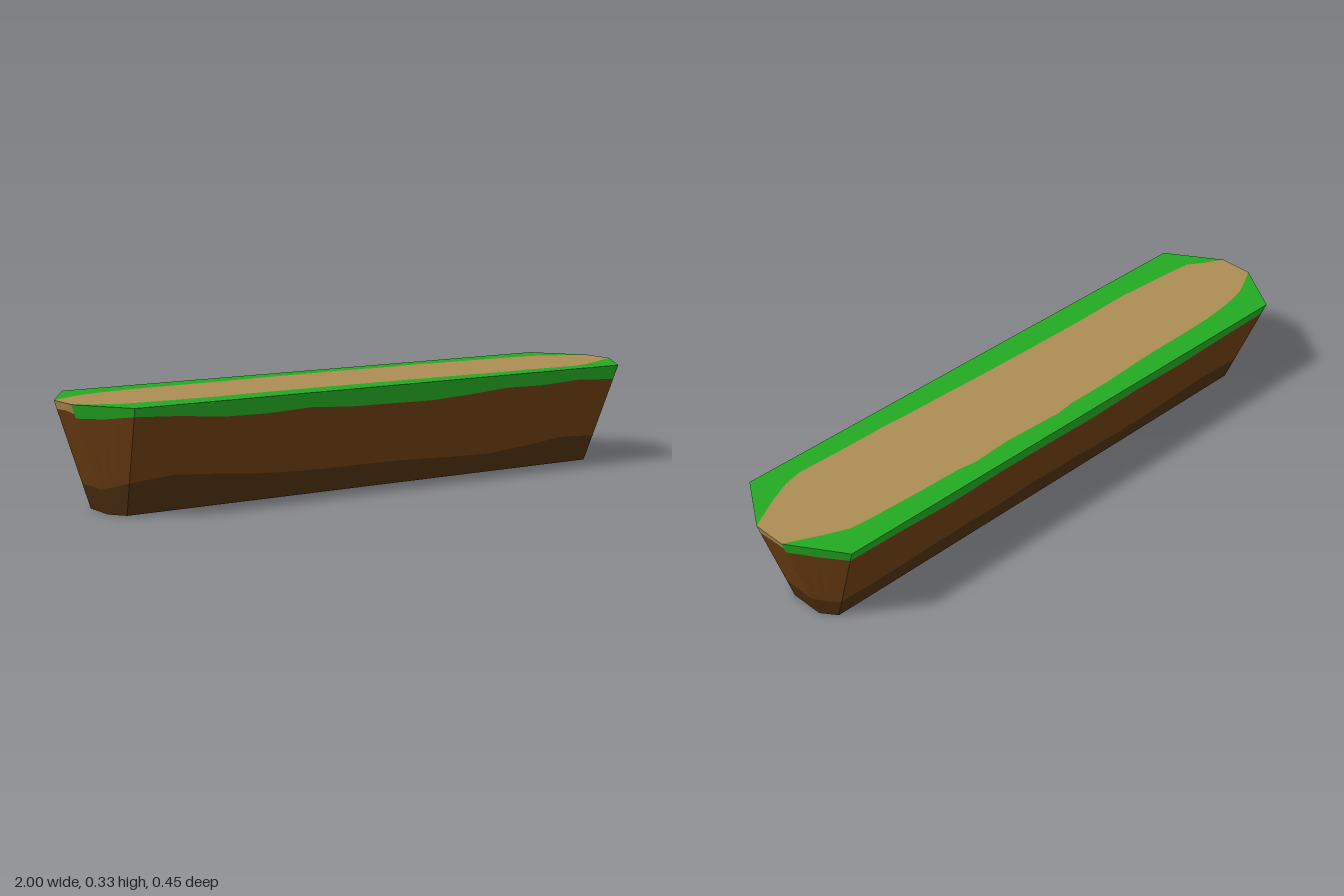
import * as THREE from 'three';

const H = 0.326;
const mat = (name, color) => {
  const m = new THREE.MeshStandardMaterial({ color });
  m.name = name;
  return m;
};

// Reads an evenly spaced list of values at u in 0..1
function sample(list, u) {
  const f = u * (list.length - 1);
  const i = Math.min(Math.floor(f), list.length - 2);
  return list[i] + (list[i + 1] - list[i]) * (f - i);
}

// Adds strip between two rows of points; rows run left to right seen from outside
function addStrip(out, lower, upper) {
  for (let i = 0; i < lower.length - 1; i++) {
    const [a, b, c, d] = [lower[i], lower[i + 1], upper[i + 1], upper[i]];
    for (const p of [a, b, c, a, c, d]) out.push(p.x, p.y, p.z);
  }
}

function makeMesh(name, positions, material) {
  const g = new THREE.BufferGeometry();
  g.setAttribute('position', new THREE.Float32BufferAttribute(positions, 3));
  g.computeVertexNormals();
  const mesh = new THREE.Mesh(g, material);
  mesh.name = name;
  return mesh;
}

export function createModel() {
  const group = new THREE.Group();
  group.name = 'floatingPlatform';
  const grass = mat('grass green', 0x22a822);
  const path = mat('path tan', 0xaa8b52);
  const soil = mat('soil brown', 0x693c12);
  const deep = mat('deep soil brown', 0x4b2e11);

  // Octagonal rings, starting at the front left corner as seen from the front
  const ring = (ex, ez, cx, cz, y) => [
    [-cx, cz], [cx, cz], [ex, ez], [ex, -ez], [cx, -cz], [-cx, -cz], [-ex, -ez], [-ex, ez],
  ].map(([x, z]) => new THREE.Vector3(x, y, z));
  const top = ring(1, 0.055, 0.89, 0.225, H);
  const bottom = ring(0.89, 0.055, 0.855, 0.1025, 0);

  // Wavy borders on each wall: top of deep soil, and bottom of the turf
  const walls = [
    { name: 'front', low: [0.1, 0.112, 0.1, 0.085, 0.078, 0.076, 0.076, 0.073, 0.066, 0.063, 0.075, 0.092, 0.085],
      high: [0.3, 0.291, 0.276, 0.274, 0.28, 0.27, 0.268, 0.265, 0.272, 0.283, 0.28, 0.288, 0.278] },
    { name: 'frontLeftCorner', low: [0.075, 0.073], high: [0.277, 0.274] },
    { name: 'leftEnd', low: [0.073, 0.076, 0.07], high: [0.296, 0.302, 0.305], end: true },
    { name: 'backLeftCorner', low: [0.07, 0.067, 0.072], high: [0.288, 0.286, 0.291] },
    { name: 'back', low: [0.075, 0.07, 0.08, 0.078, 0.085, 0.08, 0.068, 0.075, 0.09, 0.08],
      high: [0.29, 0.285, 0.272, 0.28, 0.276, 0.27, 0.28, 0.274, 0.283, 0.287] },
    { name: 'backRightCorner', low: [0.08, 0.075], high: [0.287, 0.284] },
    { name: 'rightEnd', low: [0.075, 0.078, 0.075], high: [0.3, 0.303, 0.298], end: true },
    { name: 'frontRightCorner', low: [0.075, 0.085, 0.1], high: [0.285, 0.288, 0.3] },
  ];

  walls.forEach((w, i) => {
    const j = (i + 1) % 8;
    const n = i % 4 === 0 ? 36 : 4;
    const row = (heights) => Array.from({ length: n + 1 }, (_, k) => {
      const u = k / n;
      const b = bottom[i].clone().lerp(bottom[j], u);
      const t = top[i].clone().lerp(top[j], u);
      return b.lerp(t, sample(heights, u) / H);
    });
    const rows = [[0, 0], w.low, w.high, [H, H]].map(row);
    [['DeepSoil', deep], ['Soil', soil], w.end ? ['PathEdge', path] : ['Turf', grass]]
      .forEach(([part, material], k) => {
        const pos = [];
        addStrip(pos, rows[k], rows[k + 1]);
        group.add(makeMesh(w.name + part, pos, material));
      });
  });

  // Underside
  const under = [];
  bottom.forEach((p, i) => {
    const q = bottom[(i + 1) % 8];
    under.push(0, 0, 0, q.x, 0, q.z, p.x, 0, p.z);
  });
  group.add(makeMesh('underside', under, deep));

  // Worn path down the middle: x, back border, front border
  const border = [
    [-1, -0.055, 0.055], [-0.94, -0.088, 0.088], [-0.89, -0.112, 0.12], [-0.8, -0.132, 0.129],
    [-0.7, -0.143, 0.134], [-0.6, -0.146, 0.141], [-0.4, -0.148, 0.137], [-0.2, -0.158, 0.138],
    [-0.05, -0.158, 0.14], [0.02, -0.166, 0.141], [0.22, -0.157, 0.147], [0.36, -0.164, 0.15],
    [0.42, -0.156, 0.154], [0.6, -0.151, 0.155], [0.76, -0.144, 0.159], [0.82, -0.138, 0.145],
    [0.89, -0.108, 0.115], [1, -0.055, 0.055],
  ];
  const edge = (x) => Math.min(0.225, 0.055 + (1 - Math.abs(x)) / 0.11 * 0.17);
  const line = (f) => border.map((b) => new THREE.Vector3(b[0], H, f(b)));
  const outerBack = line((b) => -edge(b[0]));
  const pathBack = line((b) => b[1]);
  const pathFront = line((b) => b[2]);
  const outerFront = line((b) => edge(b[0]));
  for (const [name, near, far, material] of [
    ['frontGrass', outerFront, pathFront, grass],
    ['path', pathFront, pathBack, path],
    ['backGrass', pathBack, outerBack, grass],
  ]) {
    const pos = [];
    addStrip(pos, near, far);
    group.add(makeMesh(name, pos, material));
  }
  return group;
}
